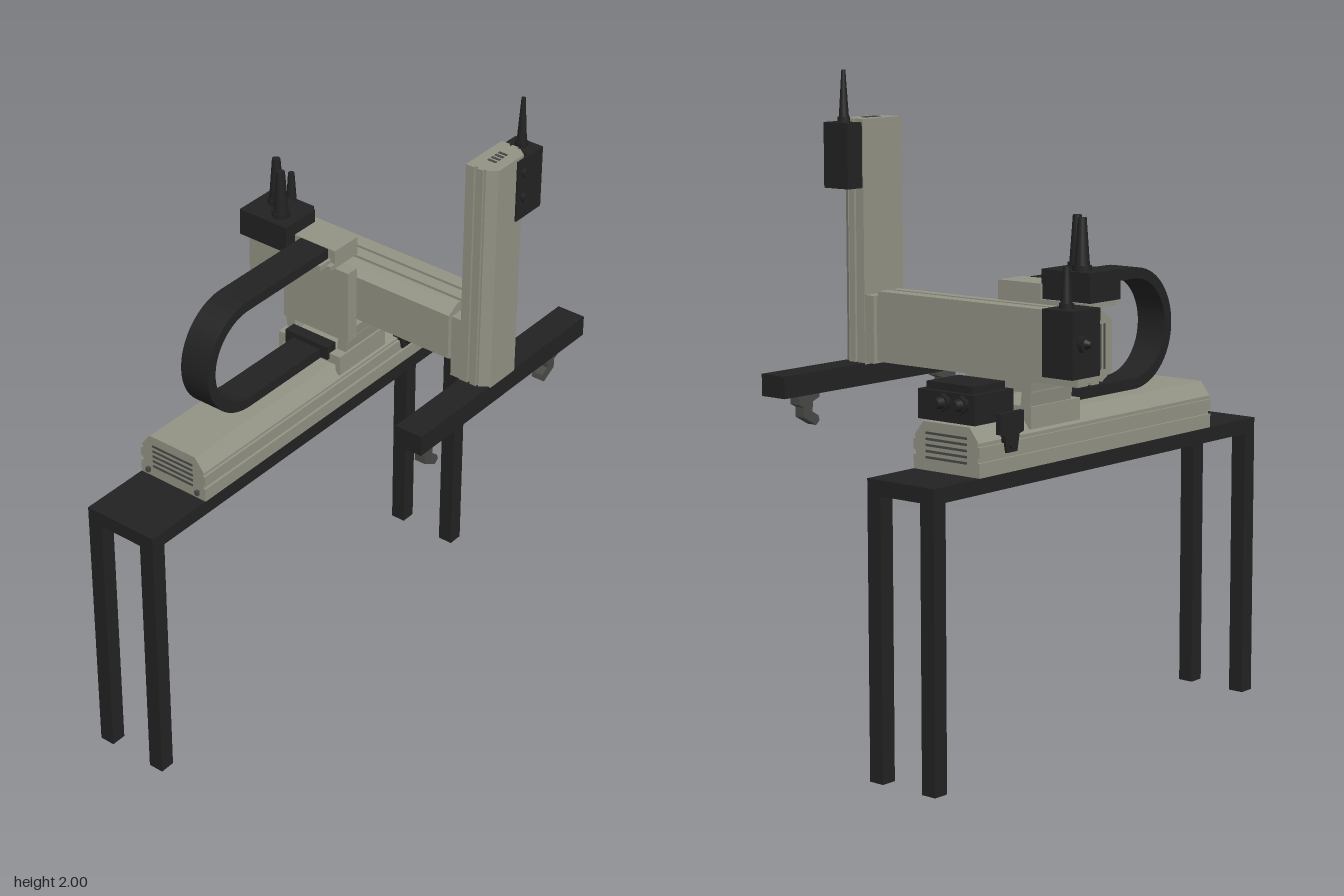
import * as THREE from 'three';

export function createModel() {
  const root = new THREE.Group();
  root.name = 'linearGantry';
  const mat = (name, color) => {
    const m = new THREE.MeshStandardMaterial({ color });
    m.name = name;
    return m;
  };
  const grey = mat('warmGrey', 0x929284);
  const black = mat('black', 0x222222);
  const steel = mat('darkSteel', 0x484846);

  const add = (name, geo, material, parent = root) => {
    const mesh = new THREE.Mesh(geo, material);
    mesh.name = name;
    parent.add(mesh);
    return mesh;
  };
  // Box given by its minimum and maximum on each axis
  const box = (name, material, x0, x1, y0, y1, z0, z1, parent = root) => {
    const mesh = add(name, new THREE.BoxGeometry(x1 - x0, y1 - y0, z1 - z0), material, parent);
    mesh.position.set((x0 + x1) / 2, (y0 + y1) / 2, (z0 + z1) / 2);
    return mesh;
  };
  const polygon = (pts) => new THREE.Shape(pts.map((p) => new THREE.Vector2(p[0], p[1])));
  const extrude = (shape, depth) =>
    new THREE.ExtrudeGeometry(shape, { depth, bevelEnabled: false, curveSegments: 20 });

  // Aluminium axis: flat foot, grooved sides, chamfered cover
  const railGeometry = (w, h, length) => {
    const a = w / 2, g = 0.008;
    const side = [
      [a, 0], [a, h * 0.3], [a - g, h * 0.3], [a - g, h * 0.4], [a, h * 0.4],
      [a, h * 0.62], [a - g, h * 0.62], [a - g, h * 0.7], [a - 0.004, h * 0.7], [a - w * 0.15, h],
    ];
    return extrude(polygon([...side, ...side.map(([x, y]) => [-x, y]).reverse()]), length);
  };
  // Axis whose width, height and length run along the given directions, with vents on both ends
  const rail = (name, w, h, length, dirs, origin, slits, across) => {
    const group = new THREE.Group();
    group.name = name;
    add(name + 'Body', railGeometry(w, h, length), grey, group);
    for (const z of [0, length]) {
      for (let i = 0; i < slits; i++) {
        const t = (i + 1) / (slits + 1) - 0.5;
        const u = across ? t * w * 0.5 : 0, v = across ? h / 2 : h * (0.52 + t * 0.75);
        const su = across ? 0.008 : w * 0.62, sv = across ? h * 0.3 : 0.007;
        box('endVent', steel, u - su / 2, u + su / 2, v - sv / 2, v + sv / 2, z - 0.002, z + 0.002, group);
      }
    }
    group.matrix.makeBasis(...dirs).setPosition(...origin);
    group.matrix.decompose(group.position, group.quaternion, group.scale);
    root.add(group);
  };
  const X = new THREE.Vector3(1, 0, 0), Y = new THREE.Vector3(0, 1, 0), Z = new THREE.Vector3(0, 0, 1);

  // Tapered cable sleeve standing on a base point
  const sleeve = (x, y, z, h, r0, r1, dir = Y) => {
    const mesh = add('cableSleeve', new THREE.CylinderGeometry(r1, r0, h, 16), black);
    mesh.quaternion.setFromUnitVectors(Y, dir);
    mesh.position.set(x, y, z).addScaledVector(dir, h / 2);
    const nut = add('sleeveNut', new THREE.CylinderGeometry(r0 * 1.2, r0 * 1.2, 0.016, 6), black);
    nut.quaternion.copy(mesh.quaternion);
    nut.position.set(x, y, z).addScaledVector(dir, 0.008);
  };

  // Bench
  box('benchTop', black, -0.275, -0.025, 0.84, 0.886, -0.76, 0.76);
  for (const x of [-0.275, -0.075])
    for (const z of [-0.76, 0.71]) box('benchLeg', black, x, x + 0.05, 0, 0.84, z, z + 0.05);

  // Three axes: bench rail, cross beam, upright column
  rail('baseRail', 0.25, 0.142, 1.09, [X, Y, Z], [-0.15, 0.886, -0.565], 5, false);
  rail('crossBeam', 0.212, 0.155, 0.765, [Y, Z, X], [1.24, 1.0, 0].length ? [-0.445, 1.24, -0.338] : [], 5, false);
  rail('column', 0.172, 0.096, 0.735, [Z, X, Y], [0.376, 1.12, -0.252], 4, true);
  for (const x of [-0.25, -0.06]) box('railStop', steel, x, x + 0.012, 0.9, 0.915, 0.525, 0.535);

  // Carriage on the bench rail
  box('carriagePlate', grey, -0.262, -0.038, 1.028, 1.06, -0.335, -0.11);
  for (const s of [-1, 1]) {
    const x = -0.15 + s * 0.112;
    box('carriageSkirt', grey, x - 0.008, x + 0.008, 0.995, 1.06, -0.335, -0.11);
    const gusset = add('carriageGusset', extrude(polygon(
      s < 0 ? [[-0.125, 0.14], [-0.105, 0], [-0.075, 0], [-0.09, 0.14]]
        : [[0.125, 0.14], [0.09, 0.14], [0.075, 0], [0.105, 0]]), 0.19), grey);
    gusset.position.set(-0.15, 1.0, -0.335);
  }
  box('mountingPlate', grey, -0.275, -0.025, 1.1, 1.345, -0.185, -0.142);
  box('beamSaddle', grey, -0.27, -0.03, 1.1, 1.135, -0.335, -0.142);
  box('topBracket', grey, -0.41, -0.075, 1.345, 1.36, -0.25, -0.12);
  box('bracketUpstand', grey, -0.235, -0.075, 1.36, 1.405, -0.25, -0.142);
  box('chainUpperMount', grey, -0.215, -0.09, 1.355, 1.372, -0.15, -0.09);
  box('chainLowerMount', black, -0.235, -0.07, 1.04, 1.085, -0.14, -0.1);

  // Cable chain: U-shaped flat band
  const yc = 1.22, zc = 0.23, ro = 0.185, ri = 0.152, end = -0.14;
  const band = new THREE.Shape();
  band.moveTo(end, yc - ro);
  band.lineTo(zc, yc - ro);
  band.absarc(zc, yc, ro, -Math.PI / 2, Math.PI / 2, false);
  band.lineTo(end, yc + ro);
  band.lineTo(end, yc + ri);
  band.lineTo(zc, yc + ri);
  band.absarc(zc, yc, ri, Math.PI / 2, -Math.PI / 2, true);
  band.lineTo(end, yc - ri);
  const chain = add('cableChain', extrude(band, 0.104), black);
  chain.rotation.y = -Math.PI / 2;
  chain.position.x = -0.1;

  // Drive box on the bracket
  box('carriageDrive', black, -0.41, -0.23, 1.36, 1.447, -0.24, -0.1);
  sleeve(-0.348, 1.447, -0.2, 0.153, 0.024, 0.013);
  sleeve(-0.288, 1.447, -0.148, 0.153, 0.024, 0.013);

  // Drive box at the outer end of the beam
  box('beamDrive', black, -0.455, -0.345, 1.16, 1.355, -0.375, -0.25);
  sleeve(-0.397, 1.355, -0.33, 0.12, 0.018, 0.01);
  sleeve(-0.455, 1.26, -0.33, 0.033, 0.022, 0.008, new THREE.Vector3(-1, 0, 0));

  // Drive at the rear of the bench rail, with side clamps
  box('baseDrive', black, -0.235, -0.02, 1.028, 1.115, -0.54, -0.37);
  box('baseDriveLid', black, -0.215, -0.04, 1.115, 1.137, -0.525, -0.385);
  for (const x of [-0.19, -0.12]) sleeve(x, 1.085, -0.54, 0.038, 0.022, 0.014, new THREE.Vector3(0, 0, -1));
  for (const s of [-1, 1]) {
    const clamp = add('driveClamp', extrude(polygon([
      [0.38, 1.06], [0.38, 1.0], [0.4, 0.995], [0.41, 0.945], [0.455, 0.945], [0.465, 0.995], [0.485, 1.0], [0.485, 1.06],
    ]), 0.016), black);
    clamp.rotation.y = Math.PI / 2;
    clamp.position.x = -0.15 + s * 0.125 - 0.008;
    const knob = add('clampKnob', new THREE.CylinderGeometry(0.01, 0.01, 0.012, 12), black);
    knob.rotation.z = Math.PI / 2;
    knob.position.set(-0.15 + s * 0.135, 0.965, -0.435);
  }

  // Joint between beam and column
  box('columnCarriage', grey, 0.342, 0.38, 1.125, 1.33, -0.335, -0.168);
  box('jointTongue', grey, 0.3, 0.36, 1.135, 1.325, -0.32, -0.3);

  // Drive box near the top of the column
  box('columnDrive', black, 0.38, 0.472, 1.65, 1.845, -0.4, -0.335);
  box('columnDriveFlange', black, 0.47, 0.477, 1.65, 1.845, -0.4, -0.28);
  sleeve(0.426, 1.845, -0.366, 0.155, 0.016, 0.006);
  for (const y of [1.72, 1.8]) sleeve(0.472, y, -0.31, 0.012, 0.012, 0.01, X);

  // Gripper bar with two inward hooks
  box('gripperBar', black, 0.376, 0.47, 1.058, 1.124, -0.68, 0.142);
  for (const [name, z, s] of [['frontHook', 0.105, 1], ['rearHook', -0.59, -1]]) {
    const pts = [[0, 0], [0, -0.035], [0.02, -0.045], [0.02, -0.075], [0.07, -0.103], [0.085, -0.09],
      [0.08, -0.075], [0.055, -0.06], [0.058, -0.03], [0.085, -0.02], [0.085, 0]];
    const hook = add(name, extrude(polygon(pts.map(([a, b]) => [-s * a, b])), 0.036), steel);
    hook.rotation.y = -Math.PI / 2;
    hook.position.set(0.442, 1.06, z);
  }
  return root;
}
